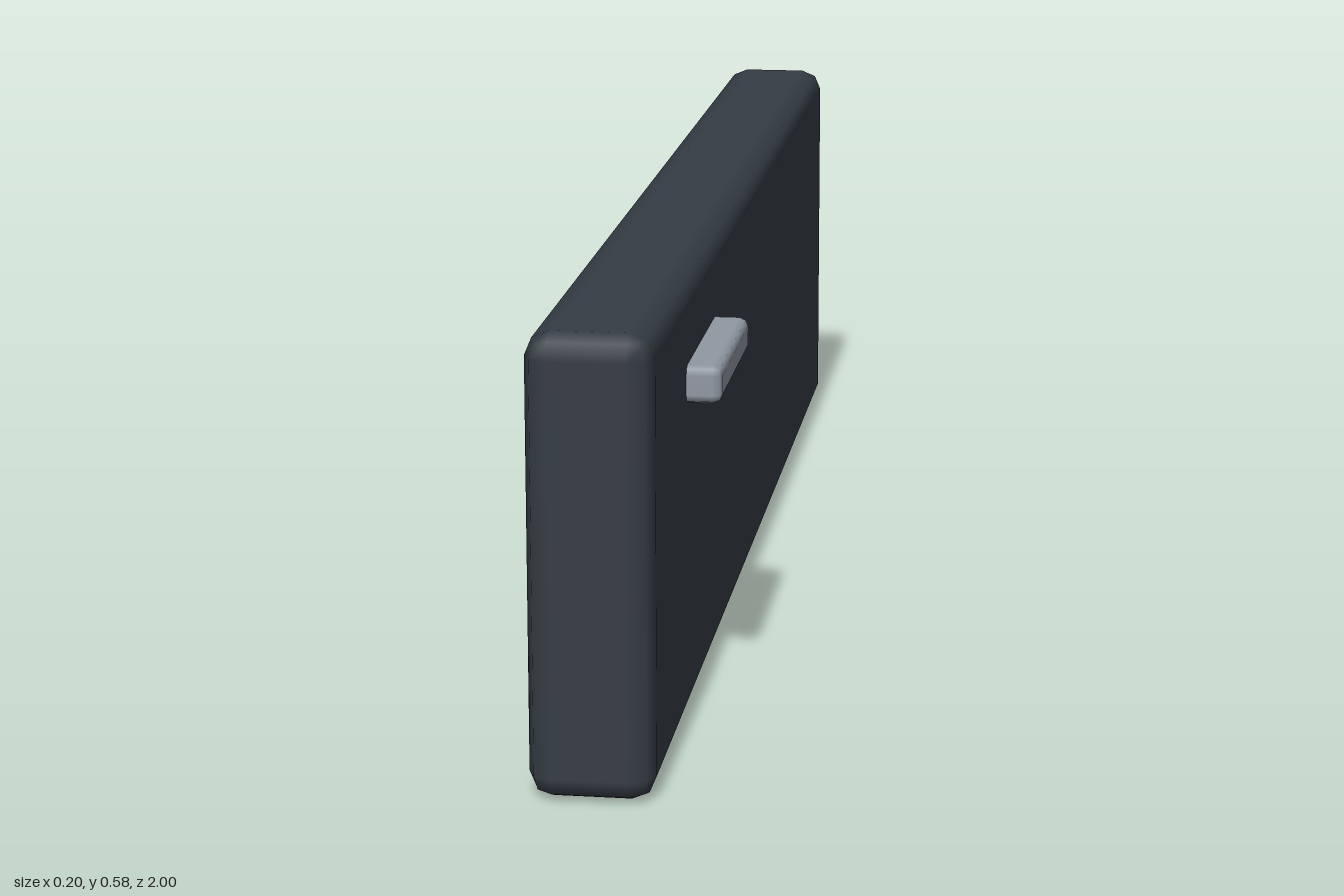
import * as THREE from 'three';
import { RoundedBoxGeometry } from 'three/addons/geometries/RoundedBoxGeometry.js';

// Bevelled block spanning two opposite corners
function block(name, min, max, radius, color) {
  const a = new THREE.Vector3(...min), b = new THREE.Vector3(...max);
  const size = b.clone().sub(a);
  const mesh = new THREE.Mesh(
    new RoundedBoxGeometry(size.x, size.y, size.z, 1, radius),
    new THREE.MeshStandardMaterial({ color })
  );
  mesh.name = name;
  mesh.position.copy(a.add(b).multiplyScalar(0.5));
  return mesh;
}

export function createModel() {
  const model = new THREE.Group();
  model.name = 'panelWithHandle';
  // Tall thin slab
  model.add(block('panel', [-0.102, 0, -1], [0.055, 0.583, 1], 0.031, 0x353c44));
  // Small bar handle set into the left face
  model.add(block('handle', [0.03, 0.428, 0.415], [0.1, 0.477, 0.705], 0.012, 0x8f98a3));
  return model;
}
